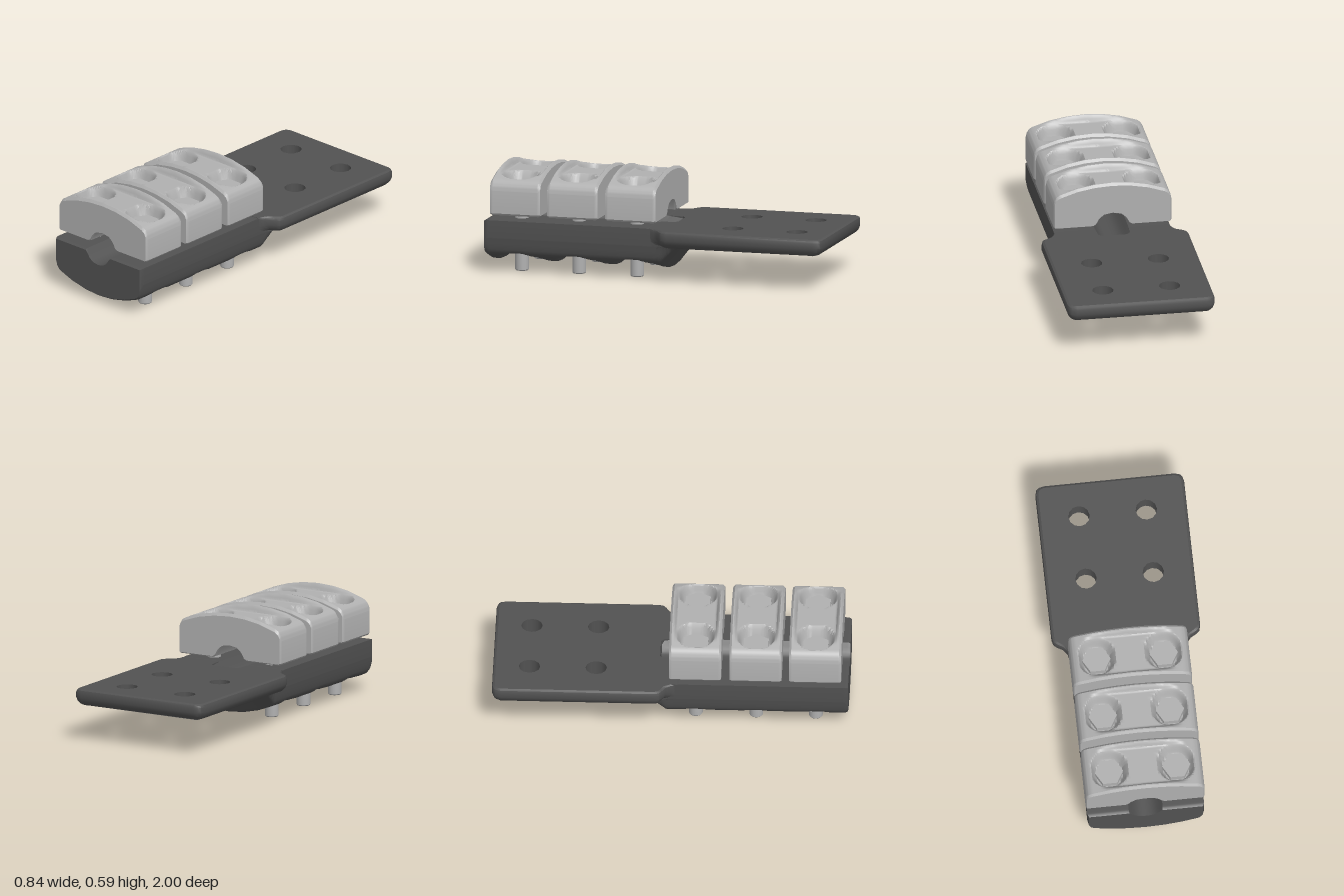
import * as THREE from 'three';
import { toCreasedNormals } from 'three/addons/utils/BufferGeometryUtils.js';

const { smoothstep, lerp, clamp } = THREE.MathUtils;

// Piecewise-linear curve through [x, y] points, mirrored about x = 0
function curve(pts, x) {
  x = Math.abs(x);
  for (let i = 1; i < pts.length; i++) {
    const [x0, y0] = pts[i - 1], [x1, y1] = pts[i];
    if (x <= x1) return lerp(y0, y1, (x - x0) / (x1 - x0));
  }
  return pts[pts.length - 1][1];
}

// 1 inside a rounded rectangle, easing to 0 at its border
function pocket(x, z, hx, hz, r, soft) {
  const qx = Math.abs(x) - hx + r, qz = Math.abs(z) - hz + r;
  const d = Math.hypot(Math.max(qx, 0), Math.max(qz, 0)) + Math.min(Math.max(qx, qz), 0) - r;
  return smoothstep(-d, 0, soft);
}

// Skin over closed rings of points, with optional extra cap triangles
function loft(rings, caps = []) {
  const n = rings[0].length, index = [...caps];
  for (let k = 0; k + 1 < rings.length; k++) {
    for (let i = 0; i < n; i++) {
      const j = (i + 1) % n, a = k * n + i, b = k * n + j;
      index.push(a, a + n, b + n, a, b + n, b);
    }
  }
  const g = new THREE.BufferGeometry();
  g.setAttribute('position', new THREE.Float32BufferAttribute(rings.flat(2), 3));
  g.setIndex(index);
  return toCreasedNormals(g, 0.6);
}

// Solid between a top and a bottom height rule, finer towards its sides
function slab(zs, width, top, bottom) {
  const us = [], n = 32;
  for (let i = -n; i <= n; i++) us.push(Math.sin((i / n) * Math.PI / 2));
  const m = us.length;
  const rings = zs.map((z) => [
    ...us.map((u) => [u * width(z), top(u * width(z), z), z]),
    ...us.map((u) => [-u * width(z), bottom(-u * width(z), z), z]),
  ]);
  const caps = [], last = (zs.length - 1) * 2 * m;
  for (let i = 0; i + 1 < m; i++) {
    const t = i, t2 = i + 1, b = 2 * m - 1 - i, b2 = b - 1;
    caps.push(t, b2, b, t, t2, b2);
    caps.push(last + t, last + b, last + b2, last + t, last + b2, last + t2);
  }
  return loft(rings, caps);
}

const range = (a, b, n) => Array.from({ length: n + 1 }, (_, i) => lerp(a, b, i / n));
const boltZ = [0.14, 0.48, 0.815], boltX = 0.19;

// Clamp block with arched top, bolt wells and a conductor groove beneath
function clampGeometry() {
  const arch = [[0, 0.592], [0.1, 0.586], [0.2, 0.568], [0.3, 0.535], [0.318, 0.522], [0.33, 0.5], [0.336, 0.47]];
  const under = [[0, 0.405], [0.05, 0.396], [0.078, 0.372], [0.1, 0.332], [0.115, 0.33], [0.325, 0.33], [0.336, 0.342]];
  const h = 0.147;
  const edge = (z) => Math.max(0, Math.abs(z) - h + 0.012);
  const top = (x, z) => {
    const a = curve(arch, x) - edge(z) * 1.2;
    const saddle = lerp(a, Math.min(a, 0.55), pocket(x, z, 0.315, 0.128, 0.11, 0.022));
    return lerp(saddle, 0.46, pocket(Math.abs(x) - boltX, z, 0.105, 0.11, 0.09, 0.035));
  };
  const bottom = (x, z) => curve(under, x) + edge(z) * 0.6;
  return slab(range(-h, h, 48), (z) => 0.336 - edge(z) * 0.5, top, bottom);
}

// Grooved base with hollowed underside, sloping up into the pad
function baseGeometry() {
  const belly = [[0, 0.035], [0.1, 0.042], [0.2, 0.064], [0.295, 0.1], [0.312, 0.12], [0.322, 0.155], [0.33, 0.2]];
  const groove = [[0, 0.23], [0.035, 0.235], [0.06, 0.25], [0.095, 0.3]];
  const width = (z) => 0.33 + 0.03 * smoothstep(-z, 0, 0.1) - 0.6 * Math.max(0, z - 0.985);
  const top = (x, z) => {
    const flat = (z < 0.04 ? 0.298 : 0.3) - Math.max(0, z - 0.988) * 0.5;
    return z > -0.06 ? Math.min(flat, curve(groove, x)) : flat;
  };
  const bottom = (x, z) => {
    let y = curve(belly, x) + Math.max(0, z - 0.985) * 0.8;
    for (const c of boltZ) {
      y = lerp(y, Math.max(y, 0.095), pocket(x, z - c, 0.31, 0.155, 0.13, 0.06));
      y = lerp(y, Math.max(y, 0.17), pocket(Math.abs(x) - boltX, z - c, 0.12, 0.135, 0.115, 0.05));
    }
    return lerp(y, 0.205, clamp((-0.025 - z) / 0.12, 0, 1));
  };
  return slab(range(-0.15, 1, 115), width, top, bottom);
}

// Drilled pad: outline points are [x, z, outward x, outward z]
function buildPad(material) {
  const half = [
    [0.07, -0.065, 0, 0], [0.09, -0.045, 0, 0], [0.095, 0.03, 0, 0], [0.328, 0.03, 0, 0],
    [0.34, 0, 0.5, 0], [0.36, -0.025, 0.7, 0.6], [0.395, -0.045, 0.7, 0.7], [0.412, -0.06, 0.9, 0.5],
    [0.42, -0.09, 1, 0], [0.42, -0.95, 1, 0], [0.412, -0.98, 1, -0.6], [0.4, -0.992, 0.6, -1], [0.37, -1, 0, -1],
  ];
  const outline = [...half, ...half.map(([x, z, a, b]) => [-x, z, -a, b]).reverse()];
  const levels = [[0.016, 0.3], [0.004, 0.293], [0, 0.28], [0, 0.25], [0.008, 0.228], [0.025, 0.21], [0.06, 0.2]];
  const ring = ([inset, y]) => outline.map(([x, z, a, b]) => [x - a * inset, y, z - b * inset]);
  const holes = [[-0.19, -0.795], [0.19, -0.795], [-0.19, -0.42], [0.19, -0.42]];
  const r = 0.06, sides = 12;

  const pad = new THREE.Group();
  pad.name = 'mountingPad';
  const add = (name, g) => {
    const mesh = new THREE.Mesh(g, material);
    mesh.name = name;
    pad.add(mesh);
    return mesh;
  };
  add('padEdge', loft(levels.map(ring)));
  const face = (level, s) => {
    const shape = new THREE.Shape(ring(level).map(([x, , z]) => new THREE.Vector2(x, -s * z)));
    for (const [x, z] of holes) {
      const pts = range(0, Math.PI * 2, sides).slice(0, -1)
        .map((t) => new THREE.Vector2(x + r * Math.sin(t), -s * (z + r * Math.cos(t))));
      shape.holes.push(new THREE.Path(pts));
    }
    return new THREE.ShapeGeometry(shape).rotateX(-s * Math.PI / 2).translate(0, level[1], 0);
  };
  add('padTop', face(levels[0], 1));
  add('padUnderside', face(levels[levels.length - 1], -1));
  for (const [x, z] of holes) {
    add('boltHole', new THREE.CylinderGeometry(r, r, 0.1, sides, 1, true)).position.set(x, 0.25, z);
  }
  return pad;
}

export function createModel() {
  const light = new THREE.MeshStandardMaterial({ color: 0xb0b0b0 });
  light.name = 'light grey metal';
  const dark = new THREE.MeshStandardMaterial({ color: 0x525252, side: THREE.DoubleSide });
  dark.name = 'dark grey metal';

  const model = new THREE.Group();
  model.name = 'boltedTerminalClamp';
  const add = (name, geometry, material, x = 0, y = 0, z = 0) => {
    const mesh = new THREE.Mesh(geometry, material);
    mesh.name = name;
    mesh.position.set(x, y, z);
    model.add(mesh);
  };

  add('base', baseGeometry(), dark);
  model.add(buildPad(dark));

  // Three clamps, each held by a pair of hex bolts
  const block = clampGeometry();
  const profile = [[0, 0], [0.034, 0], [0.039, 0.006], [0.039, 0.47]].map(([x, y]) => new THREE.Vector2(x, y));
  const shank = toCreasedNormals(new THREE.LatheGeometry(profile, 16), 0.6);
  const head = toCreasedNormals(new THREE.CylinderGeometry(0.08, 0.08, 0.05, 6).rotateY(Math.PI / 2), 0.5);
  for (const z of boltZ) {
    add('clampBlock', block, light, 0, 0, z);
    for (const x of [-boltX, boltX]) {
      add('boltShank', shank, light, x, 0, z);
      add('boltHead', head, light, x, 0.475, z);
    }
  }
  return model;
}
